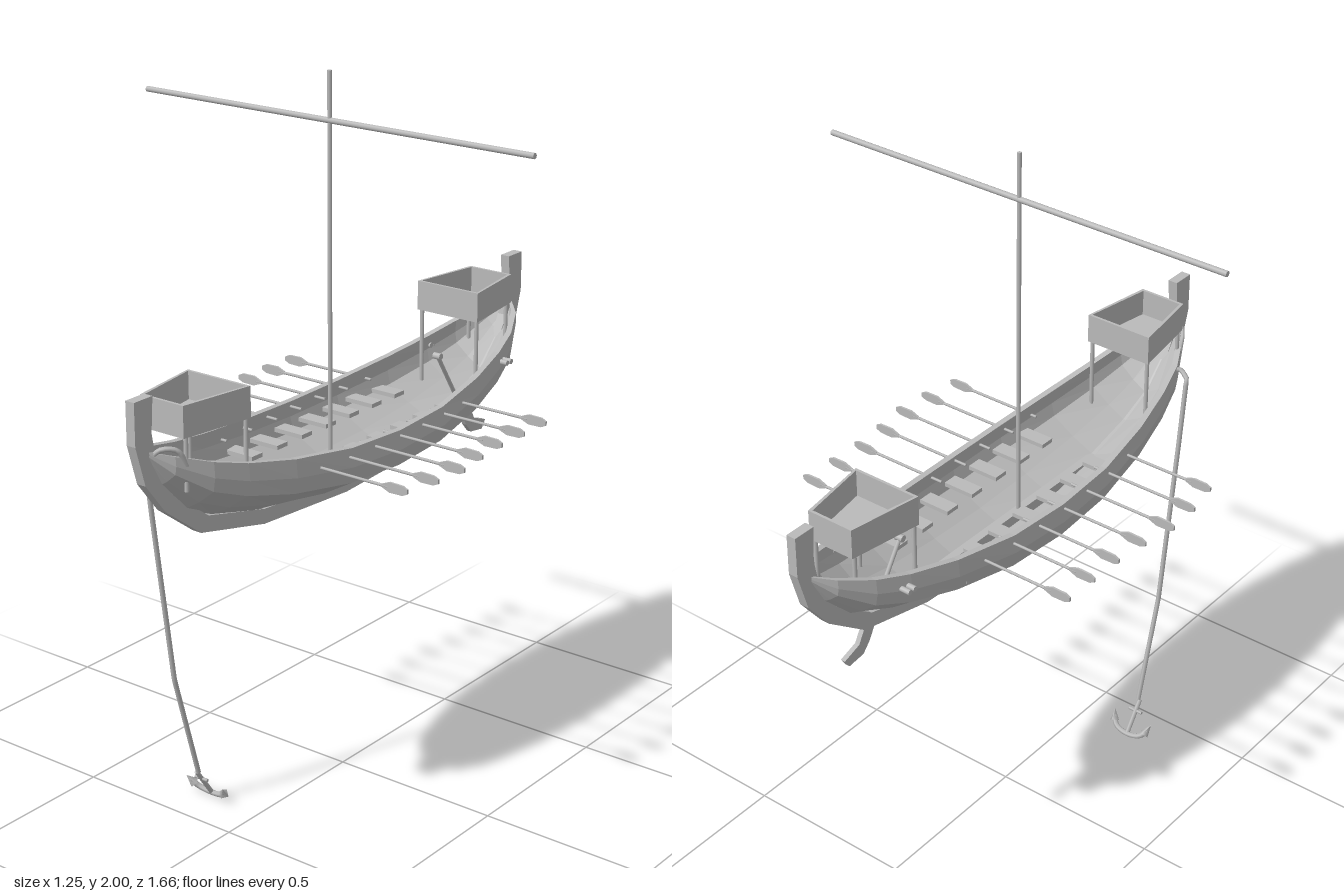
import * as THREE from 'three';

const wood = new THREE.MeshStandardMaterial({ color: 0xbababa, side: THREE.DoubleSide });
wood.name = 'plain grey';

function add(parent, geometry, name) {
  const mesh = new THREE.Mesh(geometry, wood);
  mesh.name = name;
  parent.add(mesh);
  return mesh;
}

function flat(geometry) {
  const g = geometry.index ? geometry.toNonIndexed() : geometry;
  g.computeVertexNormals();
  return g;
}

const V = (x, y, z) => new THREE.Vector3(x, y, z);

// Straight round rod between two points
function rod(parent, a, b, r, name, sides = 8) {
  const mesh = add(parent, new THREE.CylinderGeometry(r, r, a.distanceTo(b), sides), name);
  mesh.position.copy(a).lerp(b, 0.5);
  mesh.quaternion.setFromUnitVectors(V(0, 1, 0), b.clone().sub(a).normalize());
  return mesh;
}

function box(parent, w, h, d, x, y, z, name) {
  const mesh = add(parent, new THREE.BoxGeometry(w, h, d), name);
  mesh.position.set(x, y, z);
  return mesh;
}

// Side profile in (z, y), extruded across x
function sidePlate(points, width) {
  const shape = new THREE.Shape(points.map(p => new THREE.Vector2(...p)));
  const g = new THREE.ExtrudeGeometry(shape, { depth: width, bevelEnabled: false });
  return g.translate(0, 0, -width / 2).rotateY(-Math.PI / 2);
}

// Open hull with wall thickness, lofted through faceted stations
function hullGeometry() {
  // distance from midships, half width, rim height, keel height
  const half = [
    [0, 0.195, 1.055, 0.865], [0.2, 0.188, 1.062, 0.875], [0.4, 0.162, 1.085, 0.905],
    [0.55, 0.132, 1.113, 0.945], [0.65, 0.105, 1.14, 0.99], [0.74, 0.06, 1.17, 1.08],
    [0.785, 0.015, 1.185, 1.16],
  ];
  const stations = [
    ...half.slice(1).reverse().map(([z, ...r]) => [-z, ...r]), ...half,
  ];
  const section = [[0.04, 0], [0.5, 0.2], [0.97, 0.47], [1.03, 0.72], [1, 1]];
  const pos = [], index = [];
  for (const [z, w, top, keel] of stations) {
    const wall = Math.min(0.018, w * 0.6);
    const outer = section.map(([u, v]) => [u * w, keel + v * (top - keel)]);
    const floor = keel + Math.min(0.025, (top - keel) * 0.4);
    const inner = section.map(([u, v]) => [u * (w - wall), floor + v * (top - floor)]);
    const mirror = list => list.map(([x, y]) => [-x, y]);
    const ring = [
      ...mirror(outer).reverse(), ...outer, ...inner.reverse(), ...mirror(inner).reverse(),
    ];
    for (const [x, y] of ring) pos.push(x, y, z);
  }
  const n = section.length * 4;
  for (let j = 0; j < stations.length - 1; j++) {
    for (let i = 0; i < n; i++) {
      const a = j * n + i, b = j * n + (i + 1) % n;
      index.push(a, b, b + n, a, b + n, a + n);
    }
  }
  const g = new THREE.BufferGeometry();
  g.setAttribute('position', new THREE.Float32BufferAttribute(pos, 3));
  g.setIndex(index);
  return flat(g);
}

// Raised open-topped fighting platform on four posts
function platform(name) {
  const group = new THREE.Group();
  group.name = name;
  const outline = (inset) => [
    [-0.103 + inset, -0.505 - inset], [0.103 - inset, -0.505 - inset],
    [0.07 - inset, -0.72 + inset], [-0.07 + inset, -0.72 + inset],
  ].map(p => new THREE.Vector2(...p));
  const prism = (shape, h, y) => new THREE.ExtrudeGeometry(shape, { depth: h, bevelEnabled: false })
    .rotateX(-Math.PI / 2).translate(0, y, 0);
  const walls = new THREE.Shape(outline(0));
  walls.holes.push(new THREE.Path(outline(0.008)));
  add(group, prism(walls, 0.085, 1.213), 'platformWalls');
  add(group, prism(new THREE.Shape(outline(0.004)), 0.008, 1.214), 'platformFloor');
  for (const s of [-1, 1]) {
    rod(group, V(s * 0.094, 1.0, 0.515), V(s * 0.094, 1.216, 0.515), 0.006, 'platformPost');
    rod(group, V(s * 0.064, 1.07, 0.706), V(s * 0.064, 1.216, 0.706), 0.006, 'platformPost');
  }
  return group;
}

// Oar pointing to +x with a thin upright leaf blade
function oar(length) {
  const group = new THREE.Group();
  group.name = 'oar';
  rod(group, V(0.14, 1.04, 0), V(length - 0.06, 1.04, 0), 0.004, 'oarShaft', 6);
  const blade = [[-0.08, 0.004], [-0.055, 0.014], [-0.015, 0.013], [0, 0.006]];
  const outline = [...blade, ...blade.map(([x, y]) => [x, -y]).reverse()];
  const shape = new THREE.Shape(outline.map(p => new THREE.Vector2(...p)));
  const g = new THREE.ExtrudeGeometry(shape, { depth: 0.006, bevelEnabled: false });
  add(group, g.translate(length, 1.04, -0.003), 'oarBlade');
  return group;
}

function anchor() {
  const group = new THREE.Group();
  group.name = 'anchor';
  rod(group, V(0, 0, 0), V(0, 0.11, 0), 0.007, 'anchorShank', 6);
  rod(group, V(-0.022, 0.075, 0), V(0.022, 0.075, 0), 0.005, 'anchorStock', 6);
  const arms = new THREE.CatmullRomCurve3([
    V(-0.06, 0.035, 0), V(-0.042, 0.01, 0), V(0, 0, 0), V(0.042, 0.01, 0), V(0.06, 0.035, 0),
  ]);
  add(group, new THREE.TubeGeometry(arms, 12, 0.008, 6), 'anchorArms');
  for (const s of [-1, 1]) {
    const fluke = add(group, new THREE.ConeGeometry(0.015, 0.035, 4), 'anchorFluke');
    fluke.position.set(s * 0.06, 0.038, 0);
    fluke.rotation.z = -s * 0.35;
  }
  group.position.set(-0.17, 0.01, 0.372);
  group.rotation.x = 0.6;
  return group;
}

export function createModel() {
  const ship = new THREE.Group();
  ship.name = 'galley';
  add(ship, hullGeometry(), 'hull');

  // Keel rising into the bow and stern posts
  const under = [[0.832, 1.325], [0.832, 1.21], [0.8, 1.1], [0.73, 1.01], [0.6, 0.912], [0.35, 0.855], [0, 0.835]];
  const over = [[0, 0.872], [0.35, 0.897], [0.57, 0.95], [0.7, 1.045], [0.758, 1.15], [0.773, 1.23], [0.766, 1.325]];
  const aft = list => list.map(([z, y]) => [-z, y]).reverse();
  add(ship, sidePlate([...under, ...aft(under).slice(1), ...aft(over), ...over.slice(1)], 0.028), 'keel');
  box(ship, 0.024, 0.03, 0.9, 0, 0.915, -0.03, 'keelson');

  // Mast and yard
  rod(ship, V(0, 0.88, 0.055), V(0, 2, 0.055), 0.006, 'mast');
  rod(ship, V(-0.627, 1.87, 0.055), V(0.627, 1.87, 0.055), 0.008, 'yard');

  // Rowing benches and oars
  const reach = [0.45, 0.45, 0.45, 0.46, 0.477, 0.47, 0.45];
  reach.forEach((length, i) => {
    for (const s of [-1, 1]) {
      box(ship, 0.095, 0.012, 0.044, s * 0.117, 1.0, -0.35 + i * 0.1045, 'bench');
      const o = oar(length);
      o.position.z = -0.31 + i * 0.1045;
      if (s < 0) o.scale.x = -1;
      ship.add(o);
    }
  });

  // Bow and stern platforms
  ship.add(platform('bowPlatform'));
  const stern = platform('sternPlatform');
  stern.rotation.y = Math.PI;
  stern.position.z = 0.025;
  ship.add(stern);

  // Steering oar on the centreline
  rod(ship, V(0, 1.1, -0.44), V(0, 0.89, -0.575), 0.006, 'steeringShaft');
  rod(ship, V(-0.012, 1.105, -0.437), V(0.012, 1.105, -0.437), 0.01, 'steeringHandle');
  add(ship, sidePlate([
    [-0.55, 0.905], [-0.575, 0.86], [-0.6, 0.832], [-0.655, 0.825], [-0.672, 0.85], [-0.615, 0.87], [-0.59, 0.915],
  ], 0.014), 'rudderBlade');

  // Paired pegs on the stern quarters
  for (const s of [-1, 1]) {
    for (const z of [-0.56, -0.58]) {
      rod(ship, V(s * 0.11, 1.083, z), V(s * 0.155, 1.083, z), 0.008, 'quarterPeg');
    }
  }

  // Rope lashed round the bow post and running down to the anchor
  const lashing = new THREE.CatmullRomCurve3([
    V(0.07, 1.14, 0.71), V(0.062, 1.185, 0.735), V(0.035, 1.19, 0.765), V(0, 1.16, 0.775),
    V(-0.035, 1.19, 0.765), V(-0.062, 1.185, 0.735), V(-0.07, 1.14, 0.71),
  ]);
  add(ship, new THREE.TubeGeometry(lashing, 24, 0.007, 6), 'bowLashing');
  const rope = new THREE.CurvePath();
  const knots = [
    V(-0.07, 1.14, 0.71), V(-0.095, 1.12, 0.66), V(-0.13, 1.145, 0.635), V(-0.155, 1.13, 0.625),
    V(-0.157, 0.92, 0.597), V(-0.16, 0.42, 0.525), V(-0.165, 0.1, 0.432),
  ];
  for (let i = 1; i < knots.length; i++) rope.add(new THREE.LineCurve3(knots[i - 1], knots[i]));
  add(ship, new THREE.TubeGeometry(rope, 60, 0.007, 6), 'anchorRope');
  ship.add(anchor());

  return ship;
}
